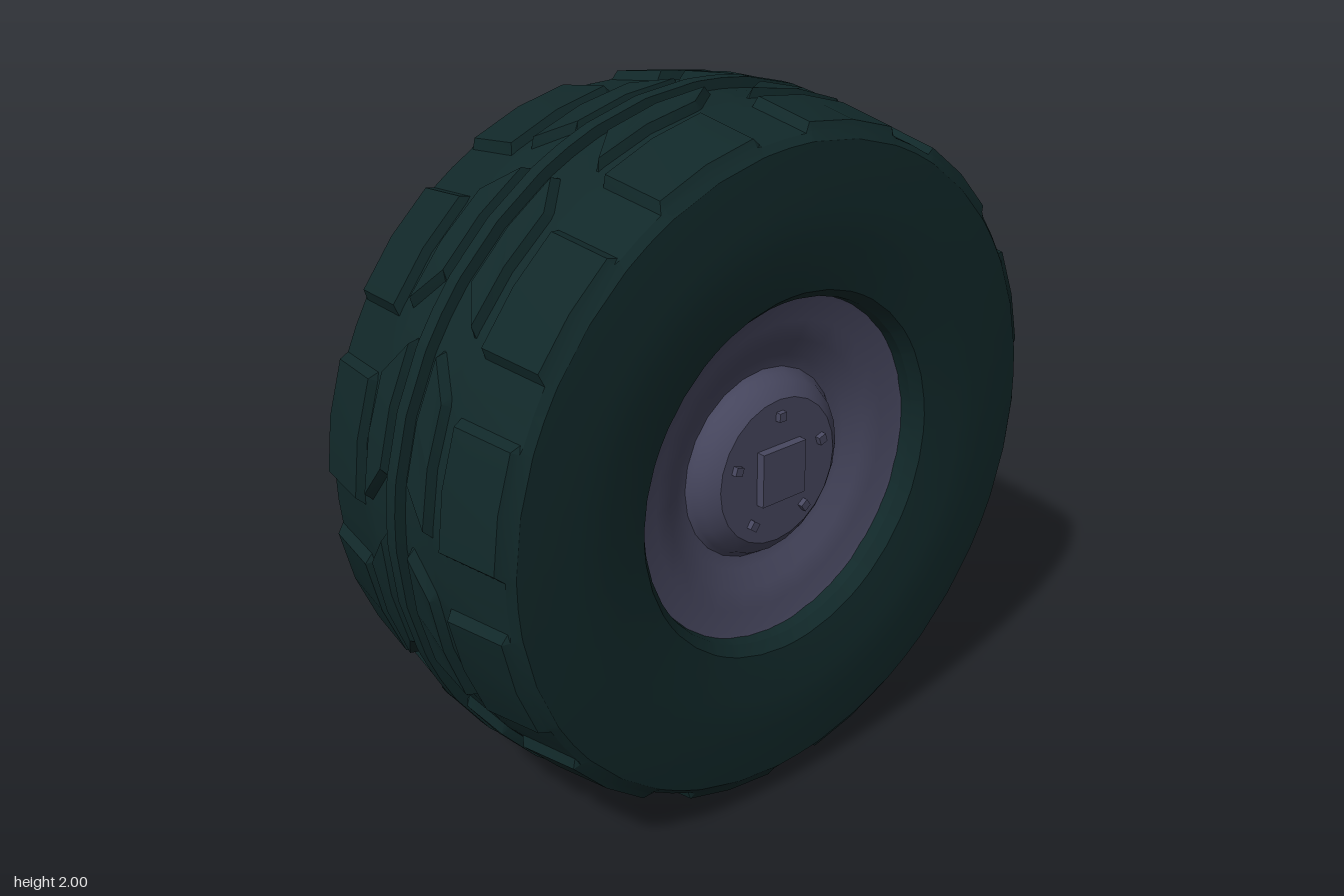
import * as THREE from 'three';
import { toCreasedNormals } from 'three/addons/utils/BufferGeometryUtils.js';

const rad = THREE.MathUtils.degToRad;

// Half cross-section of the tyre from bead to centre line:
// [z, groove radius, tread block radius, angular shift in degrees]
const HALF = [
  [0.33, 0.488, 0.488, 0],
  [0.37, 0.495, 0.495, 0],
  [0.40, 0.52, 0.52, 0],
  [0.42, 0.65, 0.65, 0],
  [0.422, 0.75, 0.75, 0],
  [0.405, 0.912, 0.912, 0],
  [0.385, 0.93, 0.935, 0],
  [0.375, 0.932, 0.955, 0],
  [0.19, 0.96, 0.985, 0],
  [0.18, 0.962, 0.962, 0],
  [0.14, 0.968, 0.968, -2],
  [0.132, 0.968, 0.993, -2],
  [0.06, 0.972, 0.996, -7.5],
  [0.052, 0.972, 0.972, -7.5],
  [0.024, 0.972, 0.972, -7.5],
  [0.02, 1.0, 1.0, -7.5],
];

// One pitch of the tread: [angle in degrees, is on top of a block]
const PITCH = [[-15, 0], [-10.5, 0], [-9.3, 1], [0, 1], [9.3, 1], [10.5, 0]];
const BLOCKS = 12;

// Hollow tyre shell: a ring grid whose rows follow the section and whose
// columns step up and down over the tread blocks
function tyreGeometry() {
  const mirrored = HALF.map(([z, g, t, s]) => [-z, g, t, s]).reverse();
  const rows = [...HALF, ...mirrored];
  const cols = [];
  for (let b = 0; b < BLOCKS; b++) {
    for (const [a, top] of PITCH) cols.push([18 + b * 360 / BLOCKS + a, top]);
  }
  const n = cols.length;
  const positions = [];
  const index = [];
  rows.forEach(([z, groove, block, shift], i) => {
    cols.forEach(([a, top], j) => {
      const r = top ? block : groove;
      const t = rad(a + shift);
      positions.push(r * Math.cos(t), r * Math.sin(t), z);
      if (i < rows.length - 1) {
        const p = i * n + j;
        const q = i * n + (j + 1) % n;
        index.push(p, p + n, q, q, p + n, q + n);
      }
    });
  });
  const geo = new THREE.BufferGeometry();
  geo.setAttribute('position', new THREE.Float32BufferAttribute(positions, 3));
  geo.setIndex(index);
  return toCreasedNormals(geo, rad(24));
}

// Dished wheel disc with a raised conical hub
function rimGeometry() {
  const profile = [
    [0.495, 0.34], [0.48, 0.335], [0.42, 0.325], [0.36, 0.31],
    [0.31, 0.28], [0.275, 0.272], [0.262, 0.285],
    [0.25, 0.31], [0.21, 0.34], [0, 0.34],
  ].map(([r, z]) => new THREE.Vector2(r, z));
  const geo = new THREE.LatheGeometry(profile, 24);
  geo.rotateX(Math.PI / 2);
  return toCreasedNormals(geo, rad(30));
}

export function createModel() {
  const rubber = new THREE.MeshStandardMaterial({ color: 0x112829, side: THREE.DoubleSide });
  rubber.name = 'dark green rubber';
  const metal = new THREE.MeshStandardMaterial({ color: 0x47475f, side: THREE.DoubleSide });
  metal.name = 'violet grey metal';

  const wheel = new THREE.Group();
  wheel.name = 'wheel';
  wheel.position.y = 1;
  const add = (name, geo, mat, x = 0, y = 0, z = 0) => {
    const mesh = new THREE.Mesh(geo, mat);
    mesh.name = name;
    mesh.position.set(x, y, z);
    wheel.add(mesh);
    return mesh;
  };

  add('tyre', tyreGeometry(), rubber);
  add('rim', rimGeometry(), metal);

  // Square cap in the middle of the hub
  add('hubCap', new THREE.BoxGeometry(0.156, 0.156, 0.04), metal, 0, 0, 0.345);

  // Five wheel bolts around the cap
  const bolt = new THREE.BoxGeometry(0.025, 0.025, 0.025);
  for (let i = 0; i < 5; i++) {
    const a = rad(90 + i * 72);
    const mesh = add('bolt', bolt, metal, 0.163 * Math.cos(a), 0.163 * Math.sin(a), 0.343);
    mesh.rotation.z = a;
  }

  const model = new THREE.Group();
  model.name = 'offRoadWheel';
  model.add(wheel);
  return model;
}
